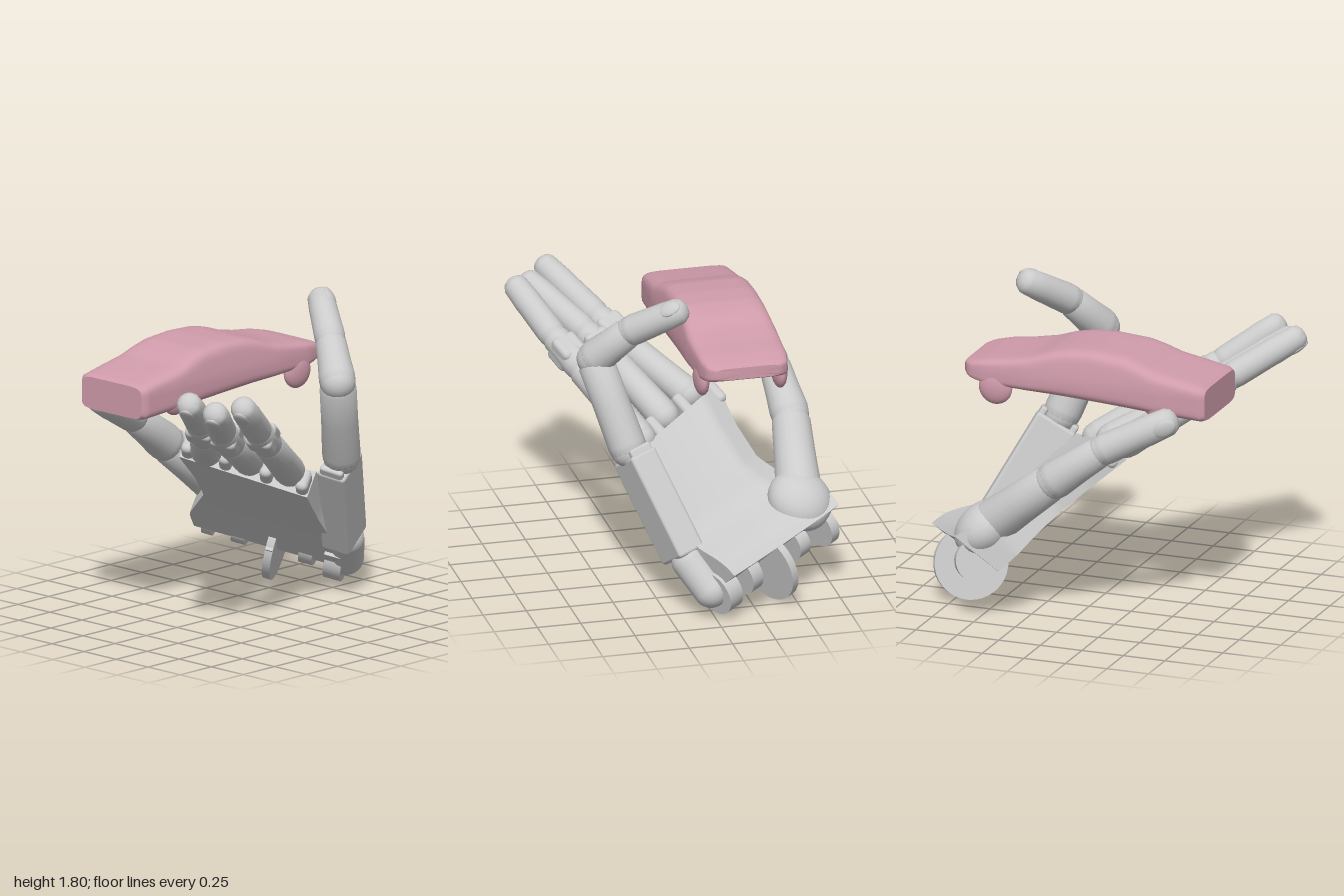
import * as THREE from 'three';
import { toCreasedNormals } from 'three/addons/utils/BufferGeometryUtils.js';
import { RoundedBoxGeometry } from 'three/addons/geometries/RoundedBoxGeometry.js';

const V = (a) => new THREE.Vector3(...a);
const { lerp, smoothstep } = THREE.MathUtils;
const grey = new THREE.MeshStandardMaterial({ color: 0xcccccc });
const pink = new THREE.MeshStandardMaterial({ color: 0xd09cab });

// Hand frame: local x runs wrist to knuckles, y across the palm, z out of the palm
const D = V([-0.61, 0.6, 0.52]).normalize();
const W = V([0.5, -0.22, 0.84]).normalize();
const N = new THREE.Vector3().crossVectors(D, W).normalize();

function add(parent, name, geo, pos = [0, 0, 0], mat = grey) {
  const mesh = new THREE.Mesh(geo, mat);
  mesh.name = name;
  mesh.position.set(...pos);
  parent.add(mesh);
  return mesh;
}

// Turn an object so its y follows dir and its z leans towards face
function aim(obj, dir, face) {
  const y = dir.clone().normalize();
  const x = new THREE.Vector3().crossVectors(y, face).normalize();
  const z = new THREE.Vector3().crossVectors(x, y);
  obj.quaternion.setFromRotationMatrix(new THREE.Matrix4().makeBasis(x, y, z));
}

// Piecewise-linear lookup
function lookup(table, x) {
  for (let i = 1; i < table.length; i++) {
    const [x0, y0] = table[i - 1], [x1, y1] = table[i];
    if (x <= x1) return y0 + (y1 - y0) * Math.max(0, (x - x0) / (x1 - x0));
  }
  return table[table.length - 1][1];
}

// One finger bone; the last one ends in a rounded tip
function boneGeometry(len, r0, r1, tip) {
  const end = tip
    ? [[r1 * 1.02, len * 0.6], [r1 * 0.93, len - r1 * 0.6], [r1 * 0.72, len - r1 * 0.23], [r1 * 0.38, len - r1 * 0.05], [0, len]]
    : [[r1, len - r1 * 0.4], [r1 * 0.85, len - r1 * 0.1], [0, len]];
  const pts = [[0, -r0 * 0.6], [r0 * 0.7, -r0 * 0.5], [r0 * 0.96, -r0 * 0.1], [r0, r0 * 0.3],
    [(r0 + r1) * 0.49, len * 0.5], ...end].map((p) => new THREE.Vector2(...p));
  return toCreasedNormals(new THREE.LatheGeometry(pts, 18), 0.7);
}

// Chain of bones with joints and a nail; blocky fingers get a squared middle segment
function makeFinger(name, points, radii, nailDir, blocky) {
  const g = new THREE.Group();
  g.name = name;
  const p = points.map(V), nail = V(nailDir);
  for (let i = 0; i < p.length - 1; i++) {
    const dir = p[i + 1].clone().sub(p[i]), len = dir.length();
    const last = i === p.length - 2, r = radii[i];
    const part = new THREE.Group();
    part.name = 'fingerSegment';
    part.position.copy(p[i]);
    aim(part, dir, nail);
    add(part, 'bone', boneGeometry(len, r, radii[i + 1], last));
    add(part, 'joint', new THREE.SphereGeometry(r * 0.96, 18, 12));
    if (blocky && i === 1)
      add(part, 'middleBlock', new RoundedBoxGeometry(r * 1.85, len * 0.6, r * 1.85, 3, r * 0.35), [0, len * 0.48, 0]);
    if (last) {
      const rt = radii[i + 1];
      const plate = add(part, 'nail', new THREE.SphereGeometry(1, 14, 10), [0, len - rt * 0.95, rt * 0.75]);
      plate.scale.set(rt * 0.6, rt * 0.85, rt * 0.25);
      plate.rotation.x = -0.12;
    }
    g.add(part);
  }
  return g;
}

// Palm slab: thin at the knuckles, thick at the heel, bevelled along the thumb side
function palmGeometry() {
  const far = [[-0.46, -0.39], [-0.25, -0.42], [0.08, -0.32], [0.3, -0.36], [0.54, -0.44]];
  const near = [[-0.46, 0.46], [-0.2, 0.46], [0.2, 0.36], [0.54, 0.3]];
  const geo = new THREE.BoxGeometry(1, 1, 1, 24, 20, 4);
  const pos = geo.attributes.position;
  for (let i = 0; i < pos.count; i++) {
    const v = pos.getY(i) + 0.5, t = pos.getZ(i) + 0.5;
    // The heel is undercut towards the wrist lugs
    const start = -0.46 + 0.06 * (1 - t);
    const d = lerp(start, 0.48 + 0.07 * (1 - v), pos.getX(i) + 0.5);
    const w = lerp(lookup(far, d), lookup(near, d), v);
    const heel = 1 - smoothstep(d, -0.42, -0.05);
    const bevel = 0.06 * Math.max(0, 1 - v / 0.2) * (1 - heel);
    const top = 0.07 + 0.125 * heel - 0.02 * Math.sin(Math.PI * v) - bevel;
    pos.setXYZ(i, d, w, lerp(-0.095 - 0.015 * heel, top, t));
  }
  return toCreasedNormals(geo, 0.6);
}

function makePalm() {
  const g = new THREE.Group();
  g.name = 'palm';
  g.quaternion.setFromRotationMatrix(new THREE.Matrix4().makeBasis(D, W, N));
  g.position.set(0.39, 0.54, -0.185);
  add(g, 'palmPlate', palmGeometry());
  // Prongs between the finger sockets
  for (const [w, d] of [[0.27, 0.47], [0.06, 0.52], [-0.18, 0.54], [-0.4, 0.55]])
    add(g, 'knuckleProng', new RoundedBoxGeometry(0.2, 0.07, 0.13, 3, 0.03), [d, w, -0.025]);
  // Thumb mound
  const mound = add(g, 'thumbMound', new THREE.SphereGeometry(1, 28, 18), [-0.29, -0.27, 0.11]);
  mound.scale.set(0.19, 0.18, 0.14);
  // Wrist lugs and the large centre disc
  for (const [w, d, n, r, t] of [[0.43, -0.42, -0.045, 0.13, 0.1], [0.26, -0.42, -0.01, 0.12, 0.08],
    [0.07, -0.457, -0.05, 0.21, 0.045], [-0.14, -0.43, -0.02, 0.1, 0.08], [-0.33, -0.45, 0.01, 0.12, 0.06]]) {
    add(g, 'wristLug', new THREE.CylinderGeometry(r, r, t, 32), [d, w, n]);
    add(g, 'wristLugArm', new THREE.BoxGeometry(0.16, t * 0.98, r * 1.2), [d + 0.1, w, n]);
  }
  return g;
}

// Hinged side panel carrying the raised finger
function makeSidePanel() {
  const g = new THREE.Group();
  g.name = 'sidePanel';
  const a = V([0.67, 0.385, 0.165]), b = V([0.43, 0.86, 0.365]);
  const dir = b.clone().sub(a), len = dir.length();
  const panel = new THREE.Group();
  panel.name = 'panel';
  panel.position.copy(a);
  aim(panel, dir, V([0.35, -0.2, 0.9]));
  add(panel, 'panelBody', new RoundedBoxGeometry(0.25, len + 0.06, 0.17, 2, 0.02), [0, len / 2 - 0.04, 0]);
  for (const s of [-1, 1])
    add(panel, 'panelProng', new RoundedBoxGeometry(0.04, 0.12, 0.14, 2, 0.015), [s * 0.1, len - 0.03, 0]);
  // Rounded lobe joining the panel to the wrist
  const top = V([0.74, 0.31, 0.12]), foot = V([0.84, 0.165, 0.02]);
  const run = foot.clone().sub(top);
  const lobe = add(g, 'panelLobe', new THREE.CapsuleGeometry(0.1, run.length(), 6, 20),
    top.clone().add(foot).multiplyScalar(0.5).toArray());
  aim(lobe, run, N);
  g.add(panel);
  return g;
}

// Car body: a rounded-square section swept from tail to nose
function carBodyGeometry() {
  const roof = [[-0.78, 1.44], [-0.63, 1.47], [-0.47, 1.5], [-0.38, 1.535], [-0.28, 1.563], [-0.1, 1.577], [0.05, 1.57],
    [0.15, 1.55], [0.28, 1.505], [0.42, 1.477], [0.55, 1.46], [0.68, 1.43]];
  const floor = [[-0.78, 1.24], [-0.4, 1.265], [0.1, 1.295], [0.55, 1.315], [0.62, 1.33], [0.68, 1.355]];
  const width = [[-0.78, 0.252], [-0.5, 0.268], [0.3, 0.268], [0.55, 0.255], [0.64, 0.235], [0.68, 0.2]];
  const geo = new THREE.CylinderGeometry(1, 1, 1, 72, 60);
  const pos = geo.attributes.position;
  for (let i = 0; i < pos.count; i++) {
    const a = pos.getX(i), b = pos.getZ(i);
    const rim = Math.hypot(a, b);
    const k = rim > 0 ? rim / Math.pow(Math.abs(a) ** 7 + Math.abs(b) ** 7, 1 / 7) : 0;
    const x = -0.05 + pos.getY(i) * 1.46;
    const e = Math.max(0, (Math.abs(x + 0.05) - 0.7) / 0.03);
    const end = 1 - 0.08 * (1 - Math.sqrt(Math.max(0, 1 - e * e)));
    const lo = lookup(floor, x), hi = lookup(roof, x);
    const y = (lo + hi) / 2 + b * k * end * (hi - lo) / 2;
    const half = lookup(width, x) * (1 - 0.09 * smoothstep(y, 1.38, 1.58));
    pos.setXYZ(i, x, y, -0.24 + a * k * end * half);
  }
  return toCreasedNormals(geo, 0.7);
}

function makeCar() {
  const g = new THREE.Group();
  g.name = 'toyCar';
  add(g, 'carBody', carBodyGeometry(), [0, 0, 0], pink);
  // Soft wheel bulges along both sides
  for (const [x, y, r] of [[0.48, 1.305, 0.1], [-0.5, 1.32, 0.09]])
    for (const side of [-1, 1]) {
      const wheel = add(g, 'wheel', new THREE.SphereGeometry(1, 24, 16), [x, y, -0.24 + side * 0.225], pink);
      wheel.scale.set(r, r, 0.042);
    }
  add(g, 'frontBumper', new RoundedBoxGeometry(0.06, 0.07, 0.4, 3, 0.025), [0.65, 1.385, -0.24], pink);
  return g;
}

export function createModel() {
  const model = new THREE.Group();
  model.name = 'handWithCar';
  model.add(makePalm(), makeSidePanel(), makeCar());

  const back = N.clone().negate().toArray();
  const radii = [0.09, 0.085, 0.08, 0.076];
  model.add(
    makeFinger('nearFinger', [[0.15, 0.83, 0.25], [-0.28, 1.115, 0.49], [-0.47, 1.245, 0.6], [-0.775, 1.475, 0.765]], radii, back, true),
    makeFinger('middleFinger', [[0, 0.89, 0.08], [-0.35, 1.09, 0.27], [-0.55, 1.22, 0.4], [-0.89, 1.44, 0.67]], radii, back, true),
    makeFinger('farFinger', [[-0.16, 0.94, -0.1], [-0.46, 1.14, 0.17], [-0.64, 1.27, 0.31], [-0.98, 1.49, 0.55]], radii, back, true),
    makeFinger('raisedFinger', [[0.42, 0.89, 0.39], [0.235, 1.38, 0.54], [0.36, 1.58, 0.36], [0.55, 1.765, 0.09]],
      [0.108, 0.104, 0.088, 0.08], [0.5, 0.7, 0.5], false),
    makeFinger('thumb', [[0.46, 0.54, -0.585], [0.07, 0.85, -0.635], [-0.22, 1.06, -0.61], [-0.63, 1.27, -0.51]],
      [0.13, 0.11, 0.09, 0.085], [-0.3, -0.2, -0.9], false)
  );
  return model;
}
